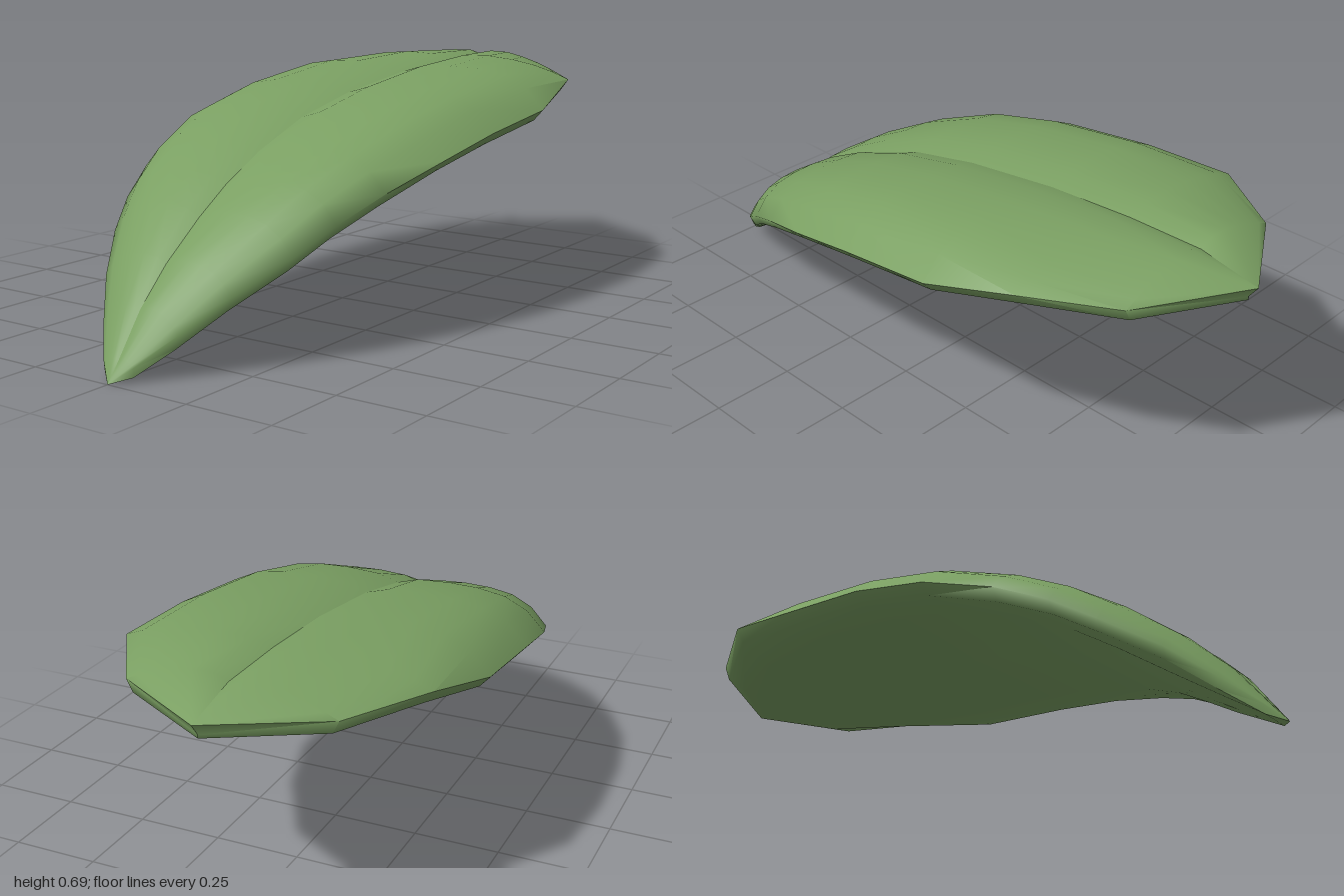
import * as THREE from 'three';
import { toCreasedNormals } from 'three/addons/utils/BufferGeometryUtils.js';

// Stations from back tip to front tip:
// z, half width, crown height, rim height, underside height, roundness of the shoulder
const STATIONS = [
  [-1, 0, 0.635, 0.635, 0.59, 2],
  [-0.825, 0.29, 0.695, 0.625, 0.575, 2],
  [-0.6, 0.435, 0.695, 0.632, 0.555, 3],
  [-0.33, 0.485, 0.68, 0.567, 0.535, 6],
  [-0.03, 0.485, 0.642, 0.533, 0.5, 6],
  [0.2, 0.465, 0.593, 0.485, 0.455, 6],
  [0.4, 0.41, 0.52, 0.42, 0.38, 6],
  [0.54, 0.355, 0.45, 0.355, 0.31, 6],
  [0.65, 0.3, 0.38, 0.285, 0.235, 5],
  [0.78, 0.21, 0.275, 0.2, 0.14, 4],
  [0.88, 0.125, 0.17, 0.115, 0.07, 3],
  [0.96, 0.05, 0.055, 0.04, 0.015, 3],
  [1, 0, 0, 0, 0, 3],
];

// Fractions of the half width, midrib to rim on top and rim to midrib underneath
const TOP = [0, 0.14, 0.35, 0.55, 0.73, 0.88, 1];
const UNDER = [0.7, 0.35, 0];

// Half cross-section: domed top with a folded midrib, rounded rim, flat underside
function section([z, w, crown, rim, base, round], side) {
  const fold = 0.025 * Math.min(1, w / 0.3);
  const top = TOP.map((u) => new THREE.Vector3(
    side * u * w,
    crown - (crown - rim) * u ** round - fold * Math.max(0, 1 - u / 0.18),
    z,
  ));
  // The blunt back tip leans forward below
  const zUnder = z === -1 ? -0.975 : z;
  const rimBase = Math.max(base, rim - 0.035);
  const under = UNDER.map((u) => new THREE.Vector3(side * u * w, base, zUnder));
  return [...top, new THREE.Vector3(side * 0.94 * w, rimBase, zUnder), ...under];
}

// One half of the leaf, lofted through all sections; side -1 mirrors it
function halfLeaf(side) {
  const rows = STATIONS.map((station) => section(station, side));
  const n = rows[0].length;
  const index = [];
  for (let i = 0; i < rows.length - 1; i++) {
    for (let j = 0; j < n - 1; j++) {
      const a = i * n + j, b = a + n, c = b + 1, d = a + 1;
      if (side > 0) index.push(a, b, d, b, c, d);
      else index.push(a, d, b, b, d, c);
    }
  }
  const geometry = new THREE.BufferGeometry().setFromPoints(rows.flat());
  geometry.setIndex(index);
  return toCreasedNormals(geometry, THREE.MathUtils.degToRad(80));
}

export function createModel() {
  const model = new THREE.Group();
  model.name = 'leaf';
  const green = new THREE.MeshStandardMaterial({ color: 0x7a9f62 });
  // Halves stay separate so the midrib keeps a sharp fold
  for (const [name, side] of [['leftHalf', 1], ['rightHalf', -1]]) {
    const mesh = new THREE.Mesh(halfLeaf(side), green);
    mesh.name = name;
    model.add(mesh);
  }
  return model;
}
